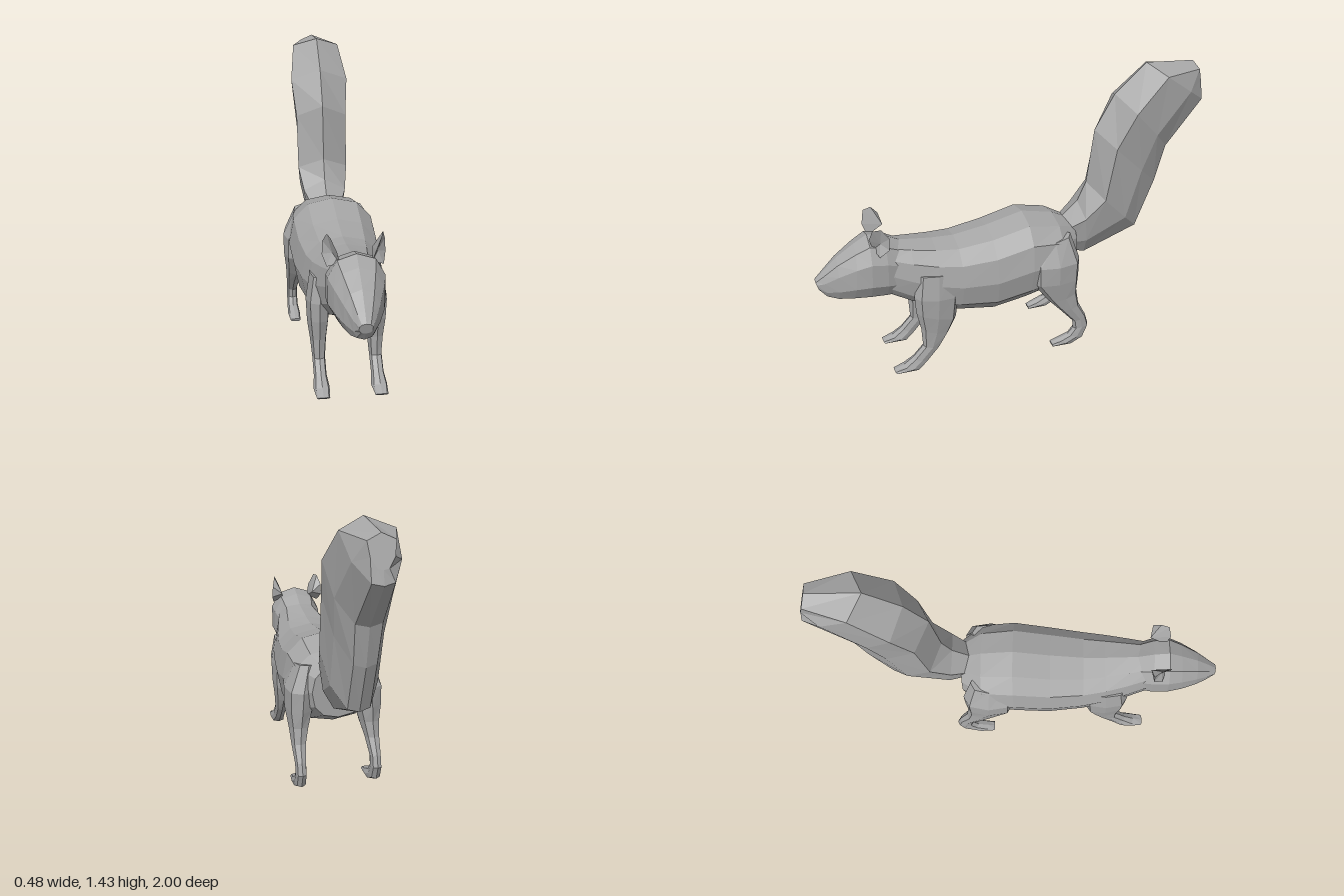
import * as THREE from 'three';

const fur = new THREE.MeshStandardMaterial({ color: 0xa6a6a6, flatShading: true });
fur.name = 'grey fur';

// Flat-shaded mesh from points and triangles; turned outward by its signed volume
function facetMesh(name, pts, tris) {
  const v = new THREE.Vector3();
  const volume = tris.reduce((s, [a, b, c]) => s + pts[a].dot(v.crossVectors(pts[b], pts[c])), 0);
  const pos = [];
  for (const [a, b, c] of tris) {
    for (const i of volume < 0 ? [a, c, b] : [a, b, c]) pos.push(...pts[i].toArray());
  }
  const g = new THREE.BufferGeometry();
  g.setAttribute('position', new THREE.Float32BufferAttribute(pos, 3));
  g.computeVertexNormals();
  const mesh = new THREE.Mesh(g, fur);
  mesh.name = name;
  return mesh;
}

// Half outline of a cross-section as [position from edge A to edge B, width factor]
const halfRound = (n, power) => Array.from({ length: n + 1 }, (_, i) => {
  const a = (Math.PI * i) / n;
  const c = Math.cos(a);
  return [0.5 - 0.5 * Math.sign(c) * Math.abs(c) ** power, i % n ? Math.sin(a) ** power : 0];
});

// Skin over sections [zA, yA, zB, yB, halfWidth, centreX]
function loft(name, sections, half) {
  const mirrored = half.slice(1, -1).reverse().map(([t, s]) => [t, -s]);
  const ring = [...half, ...mirrored];
  const n = ring.length;
  const pts = [];
  const tris = [];
  for (const [zA, yA, zB, yB, w, x = 0] of sections) {
    for (const [t, s] of ring) {
      pts.push(new THREE.Vector3(x + s * w, yA + (yB - yA) * t, zA + (zB - zA) * t));
    }
  }
  for (let r = 0; r < sections.length - 1; r++) {
    for (let i = 0; i < n; i++) {
      const a = r * n + i, b = r * n + (i + 1) % n;
      tris.push([a, b, a + n], [b, b + n, a + n]);
    }
  }
  // End caps
  const last = (sections.length - 1) * n;
  for (let i = 1; i < n - 1; i++) {
    tris.push([0, i + 1, i], [last, last + i, last + i + 1]);
  }
  return facetMesh(name, pts, tris);
}

// Cupped ear: a rim around a sunken inner point and a bulging back point
function ear(side) {
  const rim = [[0.07, 0.69, 0.72], [0.085, 0.75, 0.74], [0.112, 0.81, 0.725], [0.122, 0.815, 0.685],
    [0.137, 0.77, 0.65], [0.14, 0.71, 0.655], [0.125, 0.67, 0.70]];
  const pts = [...rim, [0.1, 0.73, 0.69], [0.085, 0.73, 0.64]]
    .map(([x, y, z]) => new THREE.Vector3(x * side, y, z));
  const n = rim.length;
  const tris = [];
  for (let i = 0; i < n; i++) {
    const j = (i + 1) % n;
    tris.push([i, j, n], [j, i, n + 1]);
  }
  return facetMesh(side > 0 ? 'leftEar' : 'rightEar', pts, tris);
}

export function createModel() {
  const model = new THREE.Group();
  model.name = 'squirrel';

  // Body, from neck to rump: top edge, belly edge, half width
  model.add(loft('body', [
    [0.64, 0.69, 0.66, 0.41, 0.115],
    [0.54, 0.675, 0.55, 0.35, 0.145],
    [0.42, 0.66, 0.44, 0.30, 0.175],
    [0.31, 0.655, 0.32, 0.265, 0.195],
    [0.14, 0.68, 0.14, 0.24, 0.215],
    [-0.05, 0.725, -0.03, 0.27, 0.222],
    [-0.21, 0.69, -0.19, 0.31, 0.21],
    [-0.31, 0.64, -0.30, 0.37, 0.13],
  ], halfRound(6, 0.85)));

  // Head, from the back of the skull to the nose
  model.add(loft('head', [
    [0.57, 0.675, 0.60, 0.40, 0.11],
    [0.66, 0.72, 0.67, 0.405, 0.13],
    [0.735, 0.737, 0.75, 0.41, 0.132],
    [0.80, 0.70, 0.83, 0.415, 0.112],
    [0.89, 0.64, 0.90, 0.42, 0.08],
    [0.96, 0.575, 0.95, 0.44, 0.05],
    [1.0, 0.535, 0.985, 0.485, 0.03],
  ], halfRound(5, 0.85)));

  // Tail: ridged front, widest near the front, narrower behind
  model.add(loft('tail', [
    [-0.27, 0.66, -0.30, 0.46, 0.08],
    [-0.35, 0.73, -0.38, 0.44, 0.11],
    [-0.395, 0.83, -0.67, 0.55, 0.13],
    [-0.43, 1.11, -0.765, 0.79, 0.132],
    [-0.53, 1.285, -0.81, 0.985, 0.15],
    [-0.69, 1.428, -1.0, 1.21, 0.122],
    [-0.945, 1.41, -0.985, 1.27, 0.06],
  ], [[0, 0], [0.2, 1], [0.65, 0.85], [0.96, 0.4], [1, 0]]));

  for (const side of [1, -1]) {
    const label = side > 0 ? 'left' : 'right';
    const place = ([zA, yA, zB, yB, w, x]) => [zA, yA, zB, yB, w, x * side];

    // Front leg: front edge, back edge, half width, centre
    model.add(loft(label + 'FrontLeg', [
      [0.53, 0.54, 0.33, 0.53, 0.045, 0.125],
      [0.55, 0.42, 0.33, 0.40, 0.055, 0.135],
      [0.545, 0.33, 0.345, 0.27, 0.05, 0.135],
      [0.525, 0.23, 0.385, 0.19, 0.038, 0.135],
      [0.52, 0.13, 0.435, 0.115, 0.03, 0.135],
      [0.575, 0.07, 0.50, 0.04, 0.03, 0.135],
      [0.625, 0.035, 0.545, 0, 0.038, 0.135],
      [0.675, 0.015, 0.66, 0, 0.03, 0.135],
    ].map(place), halfRound(4, 0.8)));

    // Hind leg: thigh, hock and foot
    model.add(loft(label + 'HindLeg', [
      [-0.07, 0.60, -0.26, 0.63, 0.05, 0.135],
      [-0.04, 0.50, -0.30, 0.50, 0.072, 0.168],
      [-0.045, 0.40, -0.295, 0.40, 0.066, 0.173],
      [-0.135, 0.28, -0.285, 0.32, 0.048, 0.178],
      [-0.195, 0.215, -0.295, 0.24, 0.036, 0.185],
      [-0.265, 0.135, -0.335, 0.16, 0.027, 0.188],
      [-0.27, 0.09, -0.352, 0.10, 0.027, 0.188],
      [-0.24, 0.055, -0.325, 0.03, 0.028, 0.188],
      [-0.19, 0.035, -0.26, 0, 0.032, 0.186],
      [-0.15, 0.018, -0.155, 0, 0.026, 0.184],
    ].map(place), halfRound(4, 0.8)));

    model.add(ear(side));
  }
  return model;
}
